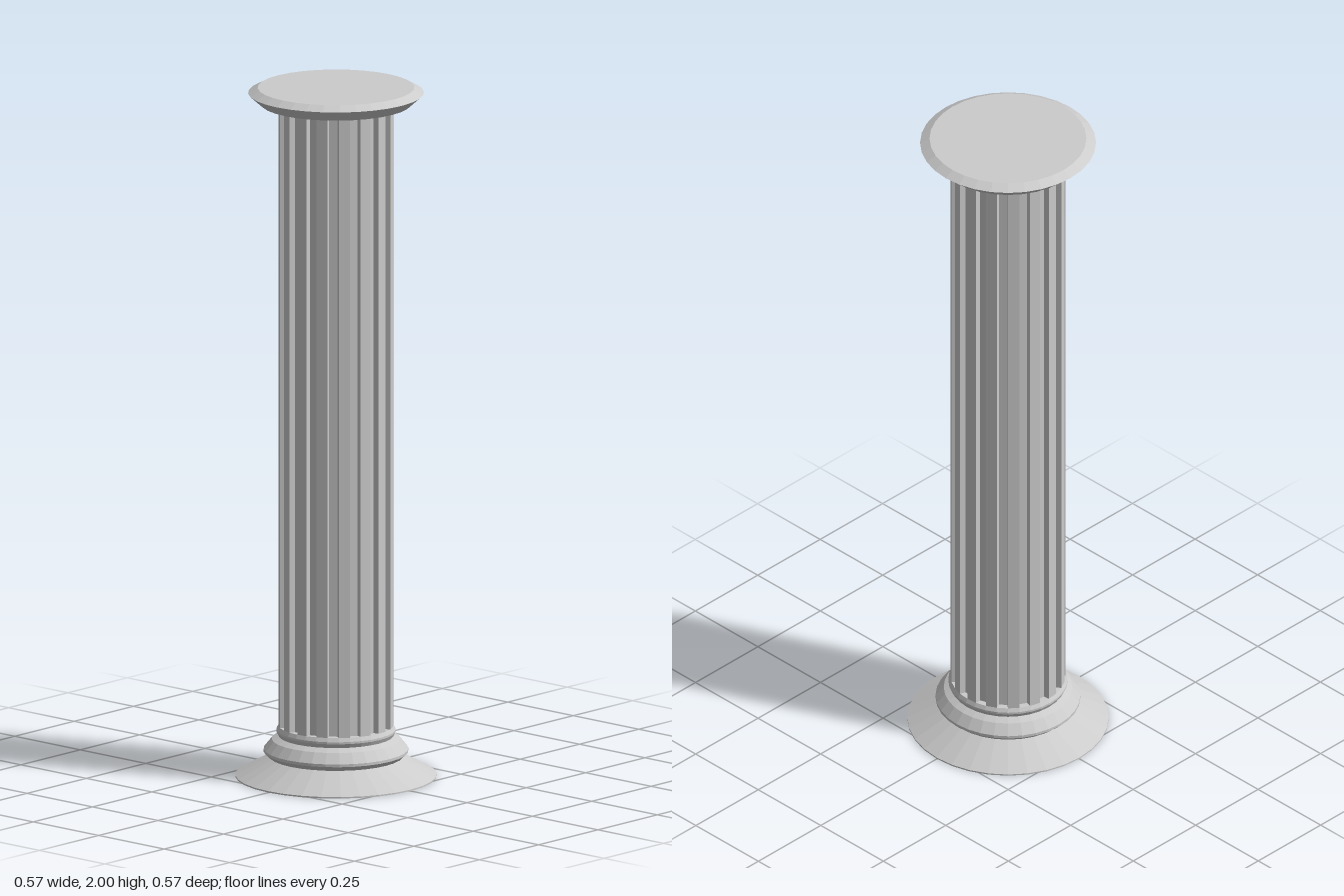
import * as THREE from 'three';

const SIDES = 32;
const material = new THREE.MeshStandardMaterial({ color: 0xcccccc, flatShading: true });

// Faceted turned part from [radius, height] pairs, listed bottom to top
function turned(name, profile) {
  const points = profile.map(([r, y]) => new THREE.Vector2(r, y));
  const mesh = new THREE.Mesh(new THREE.LatheGeometry(points, SIDES), material);
  mesh.name = name;
  return mesh;
}

// Shaft with alternate faces sunk in as square-cut flutes
function flutedShaft(bottom, top, outer, inner) {
  const shape = new THREE.Shape();
  const step = (Math.PI * 2) / SIDES;
  const put = (r, a) => {
    const x = r * Math.cos(a), y = r * Math.sin(a);
    if (shape.curves.length === 0 && shape.currentPoint.lengthSq() === 0) shape.moveTo(x, y);
    else shape.lineTo(x, y);
  };
  for (let i = 0; i < SIDES; i += 2) {
    const a = i * step;
    put(outer, a);
    put(outer, a + step);
    put(inner, a + step * 1.08);
    put(inner, a + step * 1.92);
  }
  shape.closePath();
  const geometry = new THREE.ExtrudeGeometry(shape, { depth: top - bottom, bevelEnabled: false });
  geometry.rotateX(-Math.PI / 2).translate(0, bottom, 0);
  const mesh = new THREE.Mesh(geometry, material);
  mesh.name = 'flutedShaft';
  return mesh;
}

export function createModel() {
  const column = new THREE.Group();
  column.name = 'column';
  column.add(
    // Wide sloping foot
    turned('foot', [[0, 0], [0.285, 0], [0.285, 0.004], [0.185, 0.058], [0, 0.058]]),
    // Large moulding above the foot
    turned('lowerMoulding', [[0, 0.055], [0.19, 0.058], [0.205, 0.072], [0.205, 0.08], [0.182, 0.108], [0.163, 0.118], [0, 0.118]]),
    // Small collar under the shaft
    turned('upperMoulding', [[0, 0.115], [0.163, 0.118], [0.169, 0.13], [0.169, 0.136], [0.163, 0.147], [0, 0.147]]),
    flutedShaft(0.14, 1.96, 0.163, 0.146),
    // Flared cap slab
    turned('capital', [[0, 1.953], [0.213, 1.953], [0.249, 1.985], [0.222, 2], [0, 2]]),
  );
  return column;
}
